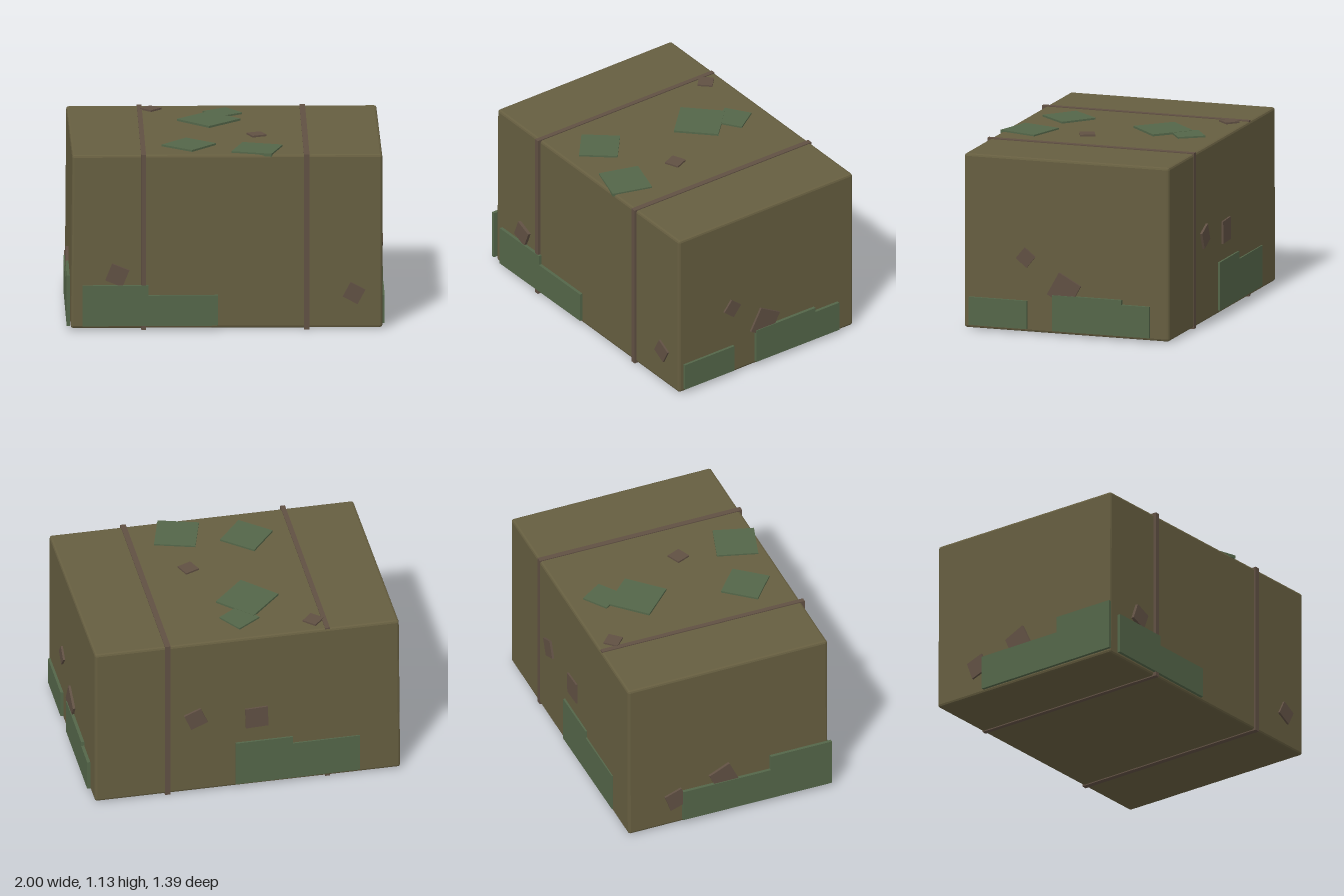
import * as THREE from 'three';
import { RoundedBoxGeometry } from 'three/addons/geometries/RoundedBoxGeometry.js';

export function createModel() {
  const mat = (name, color) => {
    const m = new THREE.MeshStandardMaterial({ color });
    m.name = name;
    return m;
  };
  const rust = mat('olive body', 0x665e40);
  const moss = mat('moss green', 0x546649);
  const brown = mat('strap brown', 0x605043);

  const model = new THREE.Group();
  model.name = 'crate';

  // Body: chamfered box, slightly out of square
  const body = new RoundedBoxGeometry(1.95, 1.115, 1.36, 1, 0.015);
  const p = body.attributes.position;
  for (let i = 0; i < p.count; i++) {
    const x = p.getX(i), y = p.getY(i), z = p.getZ(i);
    p.setXYZ(i, x + 0.003 + 0.007 * z + (x < 0 ? 0.008 * y : 0), y + 0.5675, z - 0.007 + 0.008 * x);
  }
  body.computeVertexNormals();
  const bodyMesh = new THREE.Mesh(body, rust);
  bodyMesh.name = 'body';
  model.add(bodyMesh);

  // Straps: rectangular hoops around the body
  const rect = (path, z0, z1, y0, y1) =>
    path.moveTo(z0, y0).lineTo(z1, y0).lineTo(z1, y1).lineTo(z0, y1).closePath();
  for (const [x, width] of [[-0.515, 0.03], [0.508, 0.035]]) {
    const hoop = rect(new THREE.Shape(), -0.686, 0.69, 0.003, 1.131);
    hoop.holes.push(rect(new THREE.Path(), -0.66, 0.65, 0.03, 1.1));
    const geo = new THREE.ExtrudeGeometry(hoop, { depth: width, bevelEnabled: false });
    geo.translate(0, 0, -width / 2).rotateY(-Math.PI / 2);
    const strap = new THREE.Mesh(geo, brown);
    strap.name = 'strap';
    strap.position.x = x;
    model.add(strap);
  }

  // One flat frame per side: local x to the right, y up, z outwards
  const side = (name, pos, rx, ry) => {
    const g = new THREE.Group();
    g.name = name;
    g.position.set(...pos);
    g.rotation.set(rx, ry, 0);
    model.add(g);
    return g;
  };
  // Square scab given by centre, size and angle
  const patch = (parent, name, material, u, v, w, h, deg, out) => {
    const m = new THREE.Mesh(new THREE.BoxGeometry(w, h, 0.02), material);
    m.name = name;
    m.position.set(u, v, out - 0.01);
    m.rotation.z = THREE.MathUtils.degToRad(deg);
    parent.add(m);
  };
  const chips = (parent, list, out) => list.forEach(([u, v, s, deg]) =>
    patch(parent, 'brownChip', brown, u, v, s, s, deg, out));
  const skirts = (parent, list, out) => list.forEach(([u0, u1, top]) =>
    patch(parent, 'mossSkirt', moss, (u0 + u1) / 2, (0.03 + top) / 2, u1 - u0, top - 0.03, 0, out));

  // Front
  const front = side('frontPatches', [0, 0, 0.68], 0, 0);
  skirts(front, [[-0.9, -0.485, 0.29], [-0.485, -0.05, 0.225]], 0.013);
  chips(front, [[-0.68, 0.355, 0.115, -22]], 0.008);
  chips(front, [[0.805, 0.235, 0.105, -28]], 0.012);

  // Right-hand side in the front view
  const right = side('sidePatchesLeft', [0.98, 0, 0], 0, Math.PI / 2);
  skirts(right, [[-0.645, -0.26, 0.21], [-0.09, 0.37, 0.26], [0.37, 0.555, 0.23]], 0.018);
  chips(right, [[-0.27, 0.487, 0.092, -39], [-0.015, 0.295, 0.165, -29]], 0.013);

  // Back
  const back = side('backPatches', [0, 0, -0.687], 0, Math.PI);
  skirts(back, [[-0.075, 0.29, 0.34], [0.29, 0.72, 0.29]], 0.013);
  chips(back, [[-0.33, 0.56, 0.115, 23], [0.06, 0.52, 0.144, 2]], 0.012);

  // Opposite side
  const left = side('sidePatchesRight', [-0.977, 0, 0], 0, -Math.PI / 2);
  skirts(left, [[-0.33, 0.265, 0.25], [0.265, 0.68, 0.355]], 0.021);
  chips(left, [[-0.375, 0.2, 0.12, 20], [-0.05, 0.28, 0.15, 25]], 0.015);

  // Top
  const top = side('topPatches', [0, 1.125, 0], -Math.PI / 2, 0);
  [[-0.088, 0.265, 0.282, 45, 0.013], [0.003, 0.462, 0.177, 34, 0.011],
    [-0.225, -0.412, 0.243, -40, 0.012], [0.2, -0.523, 0.261, -16.7, 0.01]]
    .forEach(([u, v, s, deg, out]) => patch(top, 'mossPatch', moss, u, v, s, s, deg, out));
  chips(top, [[-0.445, 0.577, 0.095, -43], [0.205, -0.138, 0.095, 23]], 0.011);

  return model;
}
